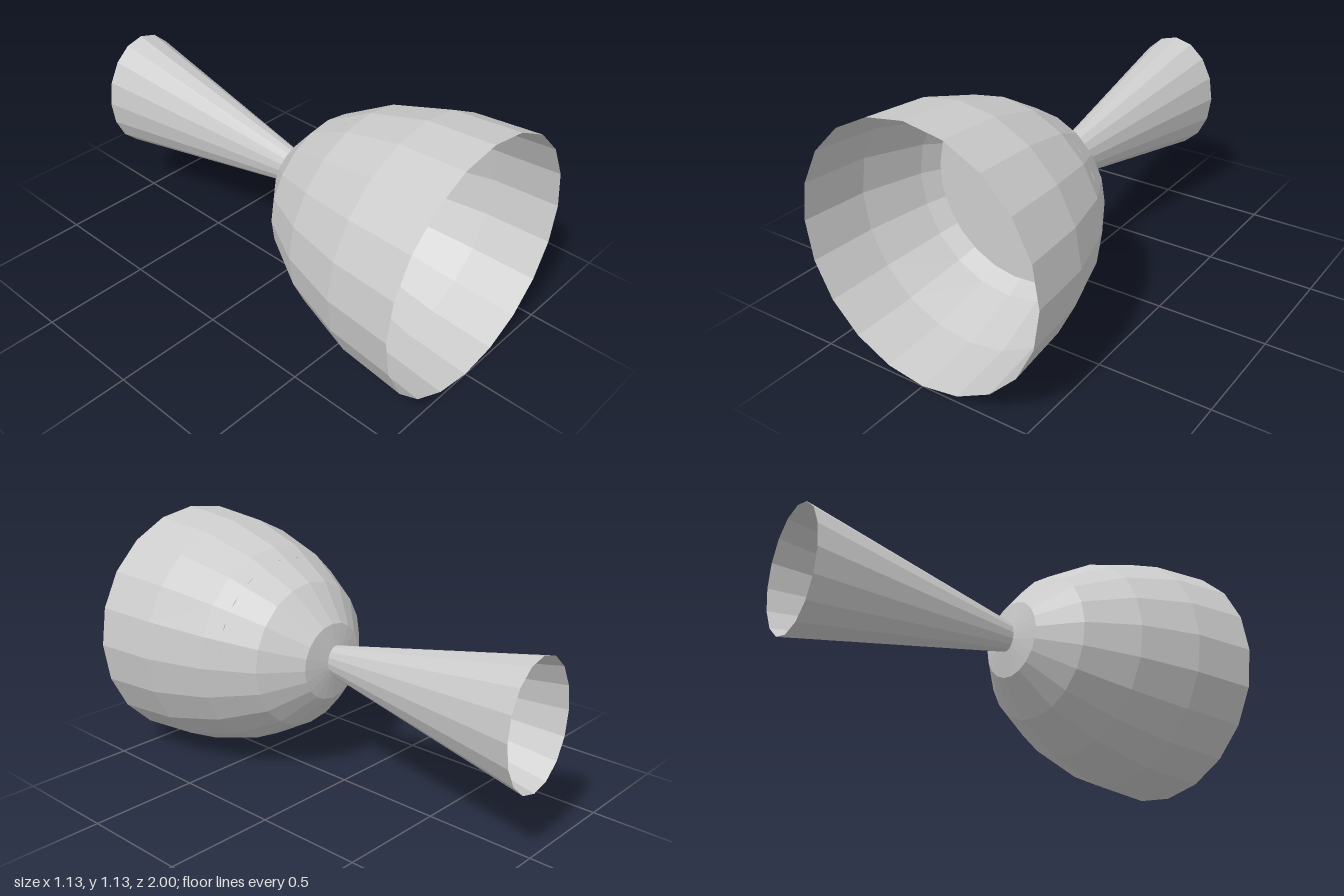
import * as THREE from 'three';

export function createModel() {
  const group = new THREE.Group();
  const material = new THREE.MeshStandardMaterial({
    color: 0xcccccc, flatShading: true, side: THREE.DoubleSide,
  });
  const add = (name, geometry, x, y, z) => {
    const mesh = new THREE.Mesh(geometry, material);
    mesh.name = name;
    mesh.position.set(x, y, z);
    group.add(mesh);
  };

  // Open bowl facing forward: [radius, z] from the pole to the rim
  const profile = [[0, 0.04], [0.175, 0.07], [0.335, 0.21], [0.46, 0.43], [0.54, 0.7], [0.565, 1]];
  const bowl = new THREE.LatheGeometry(profile.map(([r, z]) => new THREE.Vector2(r, z)), 20);
  bowl.rotateX(Math.PI / 2);
  add('bowl', bowl, 0, 0.567, 0);

  // Flat disc closing the bowl partway down, its edge just grazing the wall
  const disc = new THREE.CircleGeometry(0.412, 24, THREE.MathUtils.degToRad(11.5));
  add('innerDisc', disc, 0.004, 0.573, 0.36);

  // Hollow oval stem flaring out to the back
  const length = 1.045;
  const stem = new THREE.CylinderGeometry(0.072, 0.285, length, 16, 1, true);
  stem.rotateX(Math.PI / 2);
  stem.scale(0.75, 1, 1);
  add('flaredStem', stem, 0.003, 0.577, -1 + length / 2);

  return group;
}
